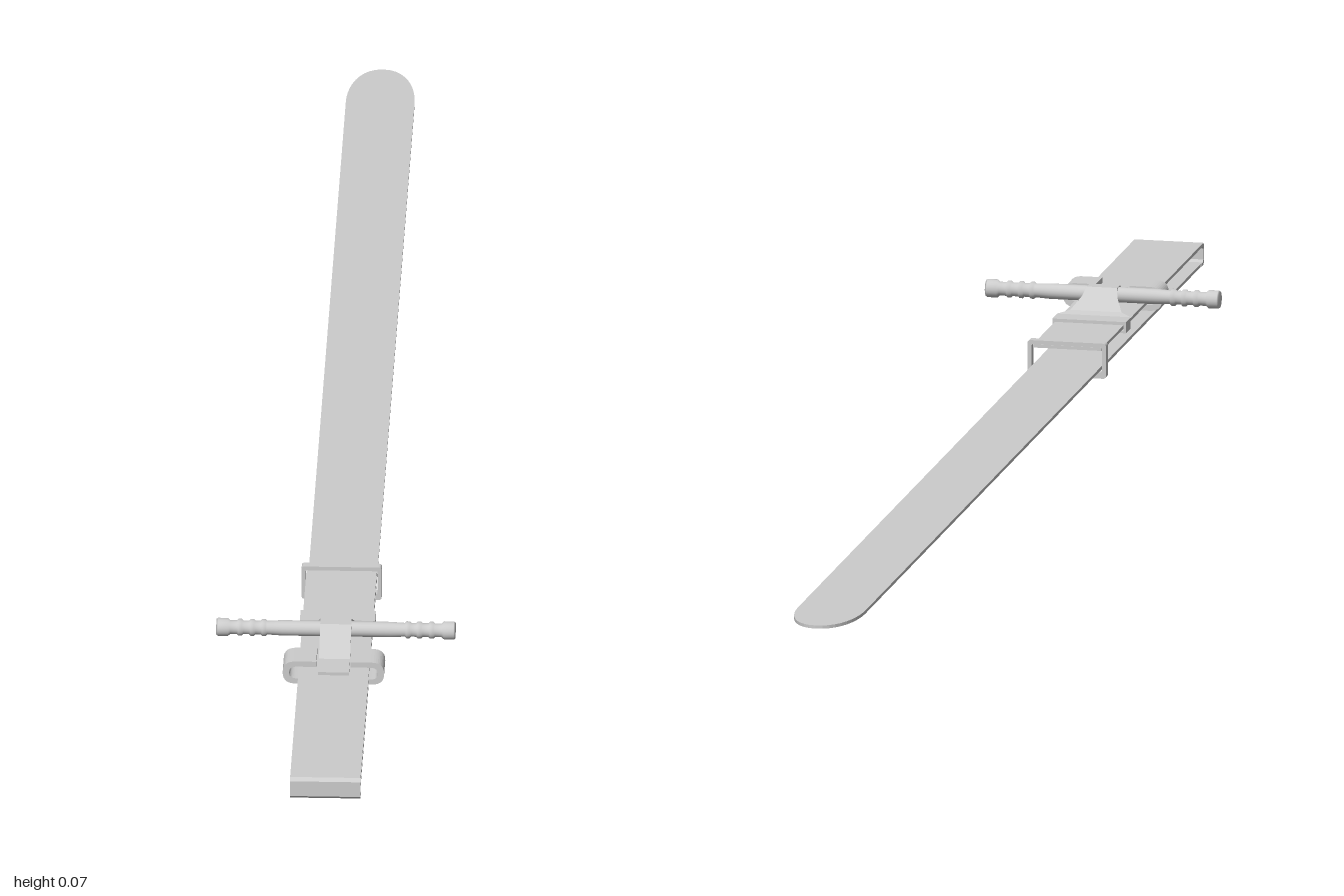
import * as THREE from 'three';

const mat = new THREE.MeshStandardMaterial({ color: 0xcccccc, side: THREE.DoubleSide });

// extrude a shape by a depth, centred on the extrusion axis
function extrude(shape, depth) {
  const g = new THREE.ExtrudeGeometry(shape, { depth, bevelEnabled: false, curveSegments: 10 });
  return g.translate(0, 0, -depth / 2);
}

function poly(points) {
  return new THREE.Shape(points.map(([x, y]) => new THREE.Vector2(x, y)));
}

function roundRect(path, x0, y0, x1, y1, r) {
  path.moveTo(x0 + r, y0);
  path.lineTo(x1 - r, y0);
  path.quadraticCurveTo(x1, y0, x1, y0 + r);
  path.lineTo(x1, y1 - r);
  path.quadraticCurveTo(x1, y1, x1 - r, y1);
  path.lineTo(x0 + r, y1);
  path.quadraticCurveTo(x0, y1, x0, y1 - r);
  path.lineTo(x0, y0 + r);
  path.quadraticCurveTo(x0, y0, x0 + r, y0);
  return path;
}

// bent plate from cross-sections [z, topY, halfWidth]
function bentPlate(sections, t) {
  const pos = [], idx = [];
  sections.forEach(([z, y, w]) => pos.push(-w, y, z, w, y, z, w, y - t, z, -w, y - t, z));
  for (let i = 0; i < sections.length - 1; i++) {
    for (let k = 0; k < 4; k++) {
      const a = i * 4 + k, b = i * 4 + (k + 1) % 4;
      idx.push(a, a + 4, b, b, a + 4, b + 4);
    }
  }
  const e = (sections.length - 1) * 4;
  idx.push(0, 1, 2, 0, 2, 3, e, e + 2, e + 1, e, e + 3, e + 2);
  const g = new THREE.BufferGeometry();
  g.setAttribute('position', new THREE.Float32BufferAttribute(pos, 3));
  g.setIndex(idx);
  const flat = g.toNonIndexed();
  flat.computeVertexNormals();
  return flat;
}

export function createModel() {
  const model = new THREE.Group();
  const add = (name, geometry) => {
    const mesh = new THREE.Mesh(geometry, mat);
    mesh.name = name;
    model.add(mesh);
    return mesh;
  };
  const W = 0.042;

  // long lower strap with a tapered round tip
  const strap = new THREE.Shape();
  strap.moveTo(-W, -0.99);
  strap.lineTo(W, -0.99);
  strap.lineTo(W, 0.91);
  strap.bezierCurveTo(W, 0.95, 0.03, 1, 0, 1);
  strap.bezierCurveTo(-0.03, 1, -W, 0.95, -W, 0.91);
  add('strap', extrude(strap, 0.004).rotateX(-Math.PI / 2).translate(0, 0.012, 0));

  // strap folded back over itself at the front end
  const fold = poly([[0.985, 0.01], [0.996, 0.01], [1, 0.014], [1, 0.034], [0.996, 0.038],
    [0.422, 0.038], [0.422, 0.034], [0.993, 0.034], [0.996, 0.031], [0.996, 0.017],
    [0.993, 0.014], [0.985, 0.014]]);
  add('foldedStrap', extrude(fold, W * 2 + 0.002).rotateY(-Math.PI / 2));

  // rectangular keeper loop around both strap layers
  const loop = roundRect(new THREE.Shape(), -0.049, 0, 0.049, 0.044, 0.004);
  loop.holes.push(roundRect(new THREE.Path(), -0.044, 0.008, 0.044, 0.039, 0.002));
  add('keeperLoop', extrude(loop, 0.011).translate(0, 0, 0.424));

  // clip under the upper strap layer, its ends curled over the top
  const clip = new THREE.Shape();
  clip.moveTo(-0.046, 0.026);
  clip.lineTo(0.046, 0.026);
  clip.bezierCurveTo(0.057, 0.026, 0.062, 0.031, 0.062, 0.041);
  clip.bezierCurveTo(0.062, 0.051, 0.057, 0.056, 0.046, 0.056);
  clip.lineTo(0.021, 0.056);
  clip.lineTo(0.021, 0.049);
  clip.lineTo(0.044, 0.049);
  clip.bezierCurveTo(0.052, 0.049, 0.054, 0.046, 0.054, 0.041);
  clip.bezierCurveTo(0.054, 0.035, 0.051, 0.033, 0.044, 0.033);
  clip.lineTo(-0.044, 0.033);
  clip.bezierCurveTo(-0.051, 0.033, -0.054, 0.035, -0.054, 0.041);
  clip.bezierCurveTo(-0.054, 0.046, -0.052, 0.049, -0.044, 0.049);
  clip.lineTo(-0.021, 0.049);
  clip.lineTo(-0.021, 0.056);
  clip.lineTo(-0.046, 0.056);
  clip.bezierCurveTo(-0.057, 0.056, -0.062, 0.051, -0.062, 0.041);
  clip.bezierCurveTo(-0.062, 0.031, -0.057, 0.026, -0.046, 0.026);
  add('curledClip', extrude(clip, 0.038).translate(0, 0, 0.696));

  // bent bracket that rises over the crossbar
  add('bracket', bentPlate([[0.545, 0.042, 0.046], [0.572, 0.042, 0.046], [0.583, 0.045, 0.032],
    [0.605, 0.058, 0.022], [0.617, 0.067, 0.019], [0.633, 0.067, 0.019], [0.645, 0.06, 0.019],
    [0.678, 0.042, 0.019], [0.715, 0.042, 0.019]], 0.004));

  // bracket tabs gripping the strap edges
  for (const s of [-1, 1]) {
    add('bracketTab', new THREE.BoxGeometry(0.003, 0.014, 0.027).translate(s * 0.0445, 0.035, 0.5585));
  }
  add('bracketUnderside', new THREE.BoxGeometry(0.09, 0.003, 0.027).translate(0, 0.0295, 0.5585));

  // crossbar with ringed grips at both ends
  const half = [[0, 0.0095], [0.066, 0.0095], [0.084, 0.0085], [0.086, 0.0105], [0.09, 0.0105],
    [0.092, 0.0085], [0.098, 0.0085], [0.1, 0.0105], [0.104, 0.0105], [0.106, 0.0085],
    [0.113, 0.0085], [0.115, 0.0105], [0.119, 0.0105], [0.121, 0.0085], [0.129, 0.0085],
    [0.132, 0.0112], [0.144, 0.0112], [0.146, 0.01], [0.146, 0]];
  const profile = [...half.slice(1).reverse().map(([x, r]) => [-x, r]), ...half]
    .map(([x, r]) => new THREE.Vector2(r, x));
  add('crossbar', new THREE.LatheGeometry(profile, 20).rotateZ(-Math.PI / 2).translate(0, 0.057, 0.625));

  return model;
}
